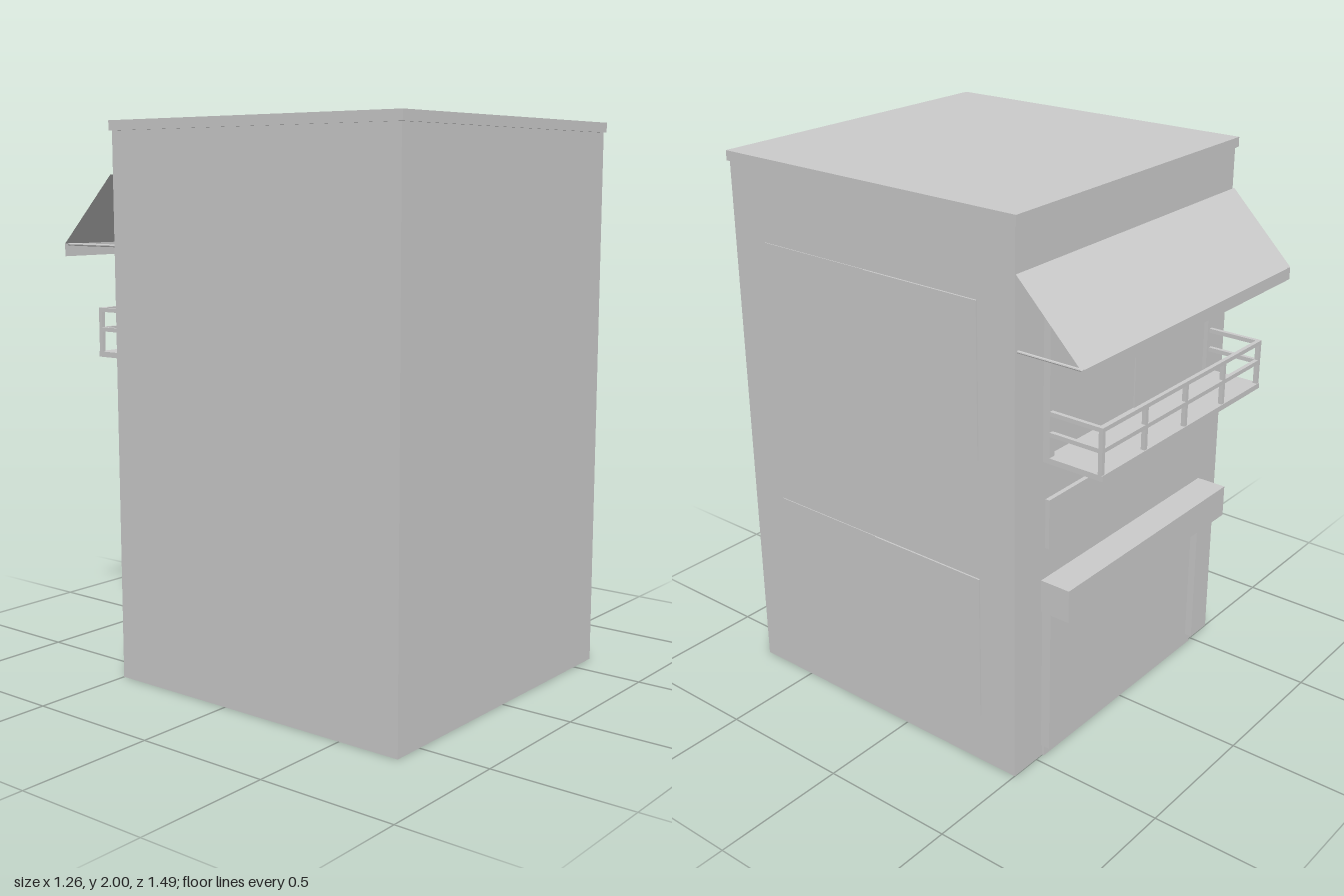
import * as THREE from 'three';

export function createModel() {
  const root = new THREE.Group();
  const grey = new THREE.MeshStandardMaterial({ color: 0xcccccc, flatShading: true });
  const thin = new THREE.MeshStandardMaterial({ color: 0xcccccc, flatShading: true, side: THREE.DoubleSide });

  const group = (name) => {
    const g = new THREE.Group();
    g.name = name;
    root.add(g);
    return g;
  };
  // Box given by its limits on each axis
  const box = (parent, name, [x0, x1], [y0, y1], [z0, z1]) => {
    const m = new THREE.Mesh(new THREE.BoxGeometry(x1 - x0, y1 - y0, z1 - z0), grey);
    m.position.set((x0 + x1) / 2, (y0 + y1) / 2, (z0 + z1) / 2);
    m.name = name;
    parent.add(m);
    return m;
  };

  const wall = -0.5; // plane of the shop side
  box(root, 'building', [-0.618, 0.62], [0, 1.965], [wall, 0.735]);
  box(root, 'roofSlab', [-0.625, 0.627], [1.965, 2], [-0.51, 0.743]);

  // Sliding windows on the side wall, one pair per floor
  for (const [y0, y1] of [[0.19, 0.73], [1.165, 1.705]]) {
    const win = group('sideWindow');
    box(win, 'outerPane', [0.61, 0.626], [y0, y1], [-0.353, 0.122]);
    box(win, 'innerPane', [0.61, 0.623], [y0, y1], [0.122, 0.588]);
  }

  // Shop entrance: shutter, guide rails and shutter housing
  const shop = group('shopEntrance');
  box(shop, 'shutter', [-0.48, 0.465], [0, 0.6], [-0.508, wall]);
  box(shop, 'shutterHousing', [-0.497, 0.48], [0.595, 0.715], [-0.615, wall]);
  for (const x of [-0.468, 0.455]) {
    box(shop, 'shutterRail', [x - 0.017, x + 0.017], [0.045, 0.595], [-0.535, wall]);
  }

  box(root, 'signBoard', [-0.215, 0.46], [0.83, 1.01], [-0.516, wall]);

  // Balcony door
  const door = group('balconyDoor');
  box(door, 'leftPane', [-0.025, 0.46], [1.17, 1.7], [-0.506, wall]);
  box(door, 'rightPane', [-0.475, -0.025], [1.17, 1.7], [-0.51, wall]);
  for (const x of [-0.475, 0.462]) {
    box(door, 'doorJamb', [x - 0.013, x + 0.013], [1.17, 1.705], [-0.525, wall]);
  }

  // Balcony with open railing
  const balcony = group('balcony');
  const [bx0, bx1, bz] = [-0.49, 0.475, -0.732];
  const t = 0.015;
  box(balcony, 'balconyFloor', [bx0, bx1], [1.15, 1.17], [bz, wall]);
  for (const y of [1.245, 1.317]) {
    box(balcony, 'frontRail', [bx0, bx1], [y, y + t], [bz + 0.003, bz + 0.003 + t]);
    for (const x of [bx0, bx1 - t]) {
      box(balcony, 'sideRail', [x, x + t], [y, y + t], [bz + 0.003 + t, wall]);
    }
  }
  for (let i = 0; i < 5; i++) {
    const x = bx0 + (i * (bx1 - bx0 - t)) / 4;
    box(balcony, 'railingPost', [x, x + t], [1.17, 1.33], [bz + 0.003, bz + 0.003 + t]);
  }

  // Awning: sloped cloth with a hanging valance, swept along x
  const awning = group('awning');
  const profile = [[1.815, wall], [1.57, -0.745], [1.525, -0.745]];
  const pos = [];
  const idx = [];
  for (const [y, z] of profile) pos.push(-0.63, y, z, 0.615, y, z);
  for (let i = 0; i < profile.length - 1; i++) {
    const a = 2 * i;
    idx.push(a, a + 1, a + 2, a + 1, a + 3, a + 2);
  }
  const geo = new THREE.BufferGeometry();
  geo.setAttribute('position', new THREE.Float32BufferAttribute(pos, 3));
  geo.setIndex(idx);
  const flat = geo.toNonIndexed();
  flat.computeVertexNormals();
  const cloth = new THREE.Mesh(flat, thin);
  cloth.name = 'awningCloth';
  awning.add(cloth);

  // Support arms of the awning
  for (const x of [-0.612, 0.605]) {
    const arm = new THREE.Mesh(new THREE.CylinderGeometry(0.005, 0.005, 0.245, 8), grey);
    arm.rotation.x = Math.PI / 2;
    arm.position.set(x, 1.568, -0.6225);
    arm.name = 'awningArm';
    awning.add(arm);
  }
  return root;
}
